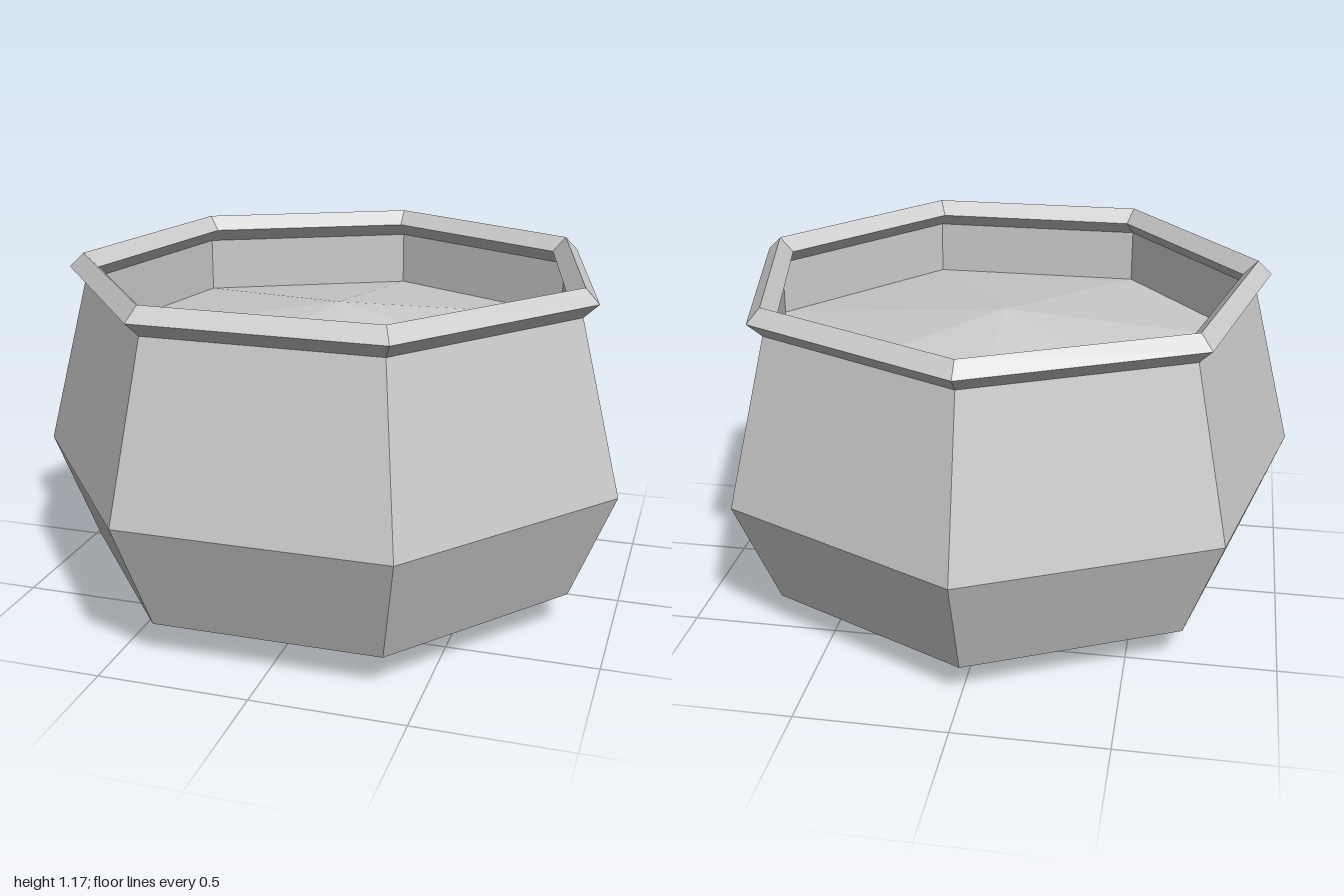
import * as THREE from 'three';

const SIDES = 7;
const CENTRE_Z = 0.05; // centres the seven-sided outline front to back

// Revolve a [radius, height] profile into a faceted seven-sided part with a corner at the back
function facetedPart(name, profile) {
  const points = profile.map(([r, y]) => new THREE.Vector2(r, y));
  const geometry = new THREE.LatheGeometry(points, SIDES, Math.PI);
  const material = new THREE.MeshStandardMaterial({ color: 0xcccccc, flatShading: true });
  const mesh = new THREE.Mesh(geometry, material);
  mesh.name = name;
  mesh.position.z = CENTRE_Z;
  return mesh;
}

export function createModel() {
  const pot = new THREE.Group();
  pot.name = 'pot';

  // Bulging body with a shallow pointed underside
  pot.add(facetedPart('body', [[0, 0], [0.875, 0.12], [1.026, 0.495], [0.875, 1.07]]));

  // Diamond-section rim
  pot.add(facetedPart('rim', [
    [0.875, 1.07], [0.926, 1.118], [0.877, 1.166], [0.826, 1.118], [0.875, 1.07],
  ]));

  // Upright inner wall
  pot.add(facetedPart('innerWall', [[0.875, 1.07], [0.875, 0.88]]));

  // Slightly domed surface of the contents
  pot.add(facetedPart('contents', [[0.875, 0.88], [0, 1.01]]));

  return pot;
}
